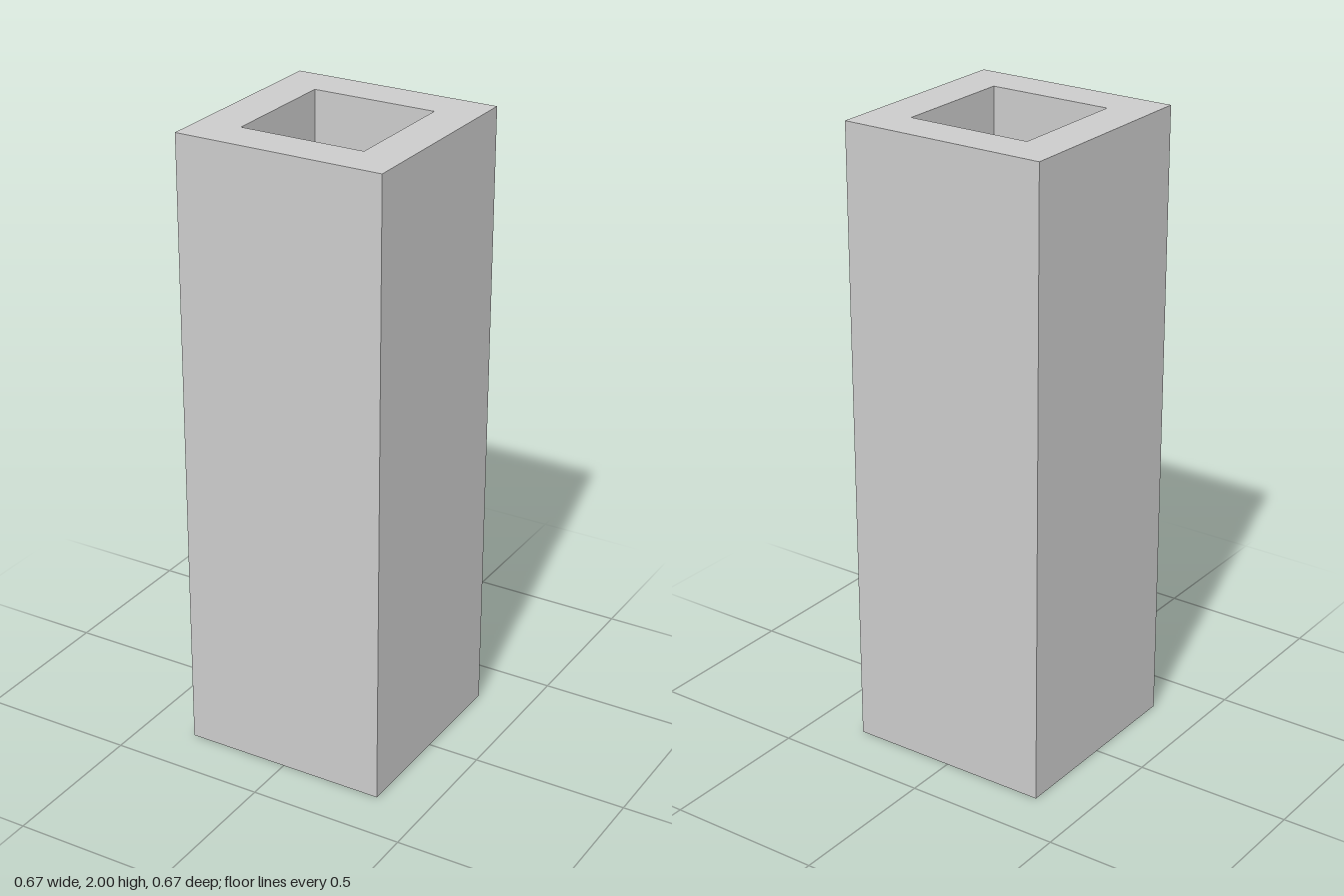
import * as THREE from 'three';

// Square tube closed at the bottom: a four-sided lathe of its wall section
export function createModel() {
  const height = 2, outer = 1 / 3, inner = 0.2;
  const floor = outer - inner; // floor as thick as the walls

  // [half width, y], from the underside centre, up the outside and down the inside
  const section = [
    [0, 0], [outer, 0], [outer, height],
    [inner, height], [inner, floor], [0, floor],
  ].map(([half, y]) => new THREE.Vector2(half * Math.SQRT2, y));

  const geometry = new THREE.LatheGeometry(section, 4, Math.PI / 4).toNonIndexed();
  geometry.computeVertexNormals();

  const container = new THREE.Mesh(
    geometry,
    new THREE.MeshStandardMaterial({ color: 0xcccccc, flatShading: true }),
  );
  container.name = 'squareContainer';

  const group = new THREE.Group();
  group.name = 'hollowSquareColumn';
  group.add(container);
  return group;
}
